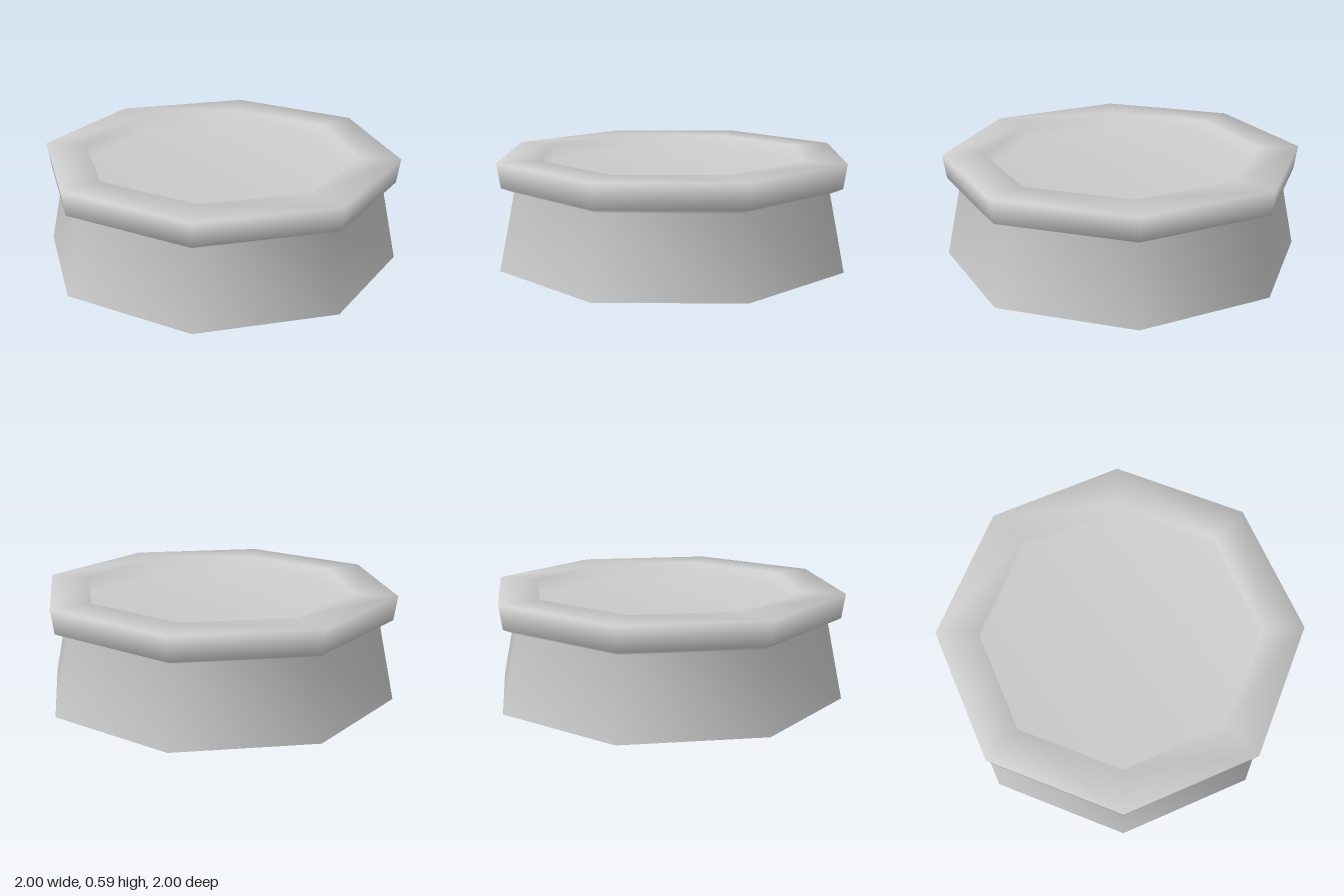
import * as THREE from 'three';

const SIDES = 8;

export function createModel() {
  const model = new THREE.Group();
  model.name = 'octagonalDish';

  const grey = new THREE.MeshStandardMaterial({ color: 0xcccccc, side: THREE.DoubleSide });
  grey.name = 'plain grey';

  // Profile: open foot, tapering skirt, overhanging rim, recessed floor
  const profile = [
    [1.0, 0], [0.91, 0.425], [0.98, 0.455], [1.0, 0.59],
    [0.77, 0.59], [0.77, 0.5], [0, 0.5],
  ].map(([r, y]) => new THREE.Vector2(r, y));
  const geometry = new THREE.LatheGeometry(profile, SIDES);

  // Swap the band that runs to the centre for one flat eight-sided floor
  const n = profile.length;
  const old = Array.from(geometry.index.array);
  const index = [];
  for (let t = 0; t < old.length; t += 3) {
    const tri = old.slice(t, t + 3);
    if (!tri.some((v) => v % n === n - 1)) index.push(...tri);
  }
  const floorCorner = (i) => ((i + SIDES / 2) % SIDES) * n + n - 2;
  for (let i = 1; i < SIDES - 1; i++) {
    index.push(floorCorner(0), floorCorner(i), floorCorner(i + 1));
  }
  geometry.setIndex(index);

  const dish = new THREE.Mesh(geometry, grey);
  dish.name = 'skirtRimAndFloor';
  model.add(dish);
  return model;
}
